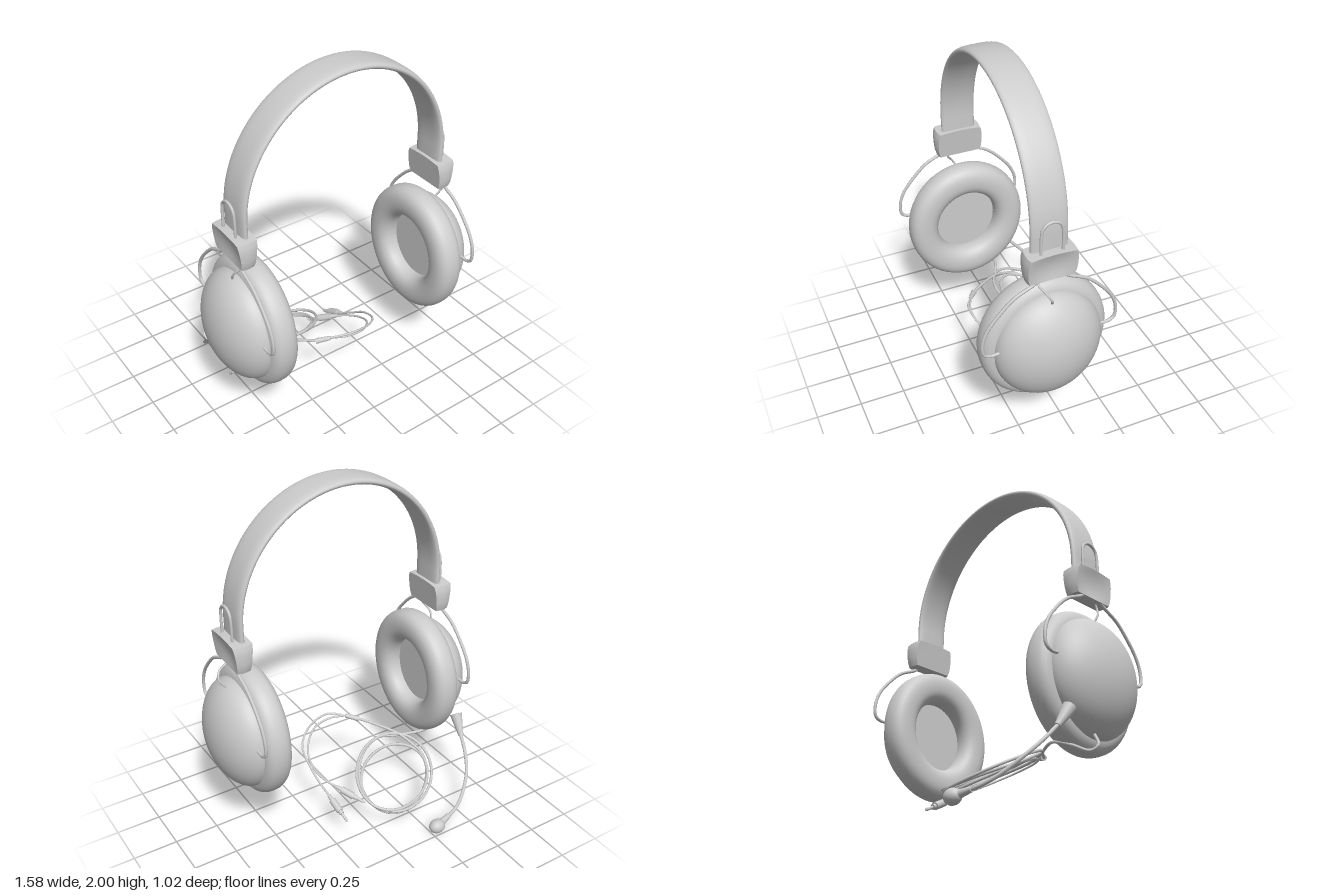
import * as THREE from 'three';
import { toCreasedNormals } from 'three/addons/utils/BufferGeometryUtils.js';
import { ParametricGeometry } from 'three/addons/geometries/ParametricGeometry.js';

const grey = new THREE.MeshStandardMaterial({ color: 0xcccccc });
const greyOpen = new THREE.MeshStandardMaterial({ color: 0xcccccc, side: THREE.DoubleSide });
const MID_Z = 0.1375; // centre plane of band and cups
const V = (x, y, z) => new THREE.Vector3(x, y, z);

function part(name, geometry, material = grey) {
  const mesh = new THREE.Mesh(geometry, material);
  mesh.name = name;
  return mesh;
}

// Smooth round wire through a few points, with capped ends
function wire(name, points, radius = 0.008, segments = points.length * 8) {
  const group = new THREE.Group();
  group.name = name;
  const curve = new THREE.CatmullRomCurve3(points);
  group.add(part(name + 'Strand', new THREE.TubeGeometry(curve, segments, radius, 8)));
  for (const end of [points[0], points[points.length - 1]]) {
    const cap = part(name + 'End', new THREE.SphereGeometry(radius, 8, 6));
    cap.position.copy(end);
    group.add(cap);
  }
  return group;
}

// Straight tapered cylinder from a to b
function rod(name, a, b, radiusA, radiusB) {
  const dir = b.clone().sub(a);
  const mesh = part(name, new THREE.CylinderGeometry(radiusB, radiusA, dir.length(), 16));
  mesh.position.copy(a).add(b).multiplyScalar(0.5);
  mesh.quaternion.setFromUnitVectors(V(0, 1, 0), dir.normalize());
  return mesh;
}

// Profile (radius, x) turned about the cup's axis, a little narrower in z
function turned(name, profile, material) {
  const mesh = part(name, toCreasedNormals(new THREE.LatheGeometry(profile, 56), 0.7), material);
  mesh.rotation.z = -Math.PI / 2;
  mesh.scale.z = 0.92;
  mesh.position.y = 0.69;
  return mesh;
}

const power = (v, p) => Math.sign(v) * Math.abs(v) ** p;

function headband() {
  const geometry = new ParametricGeometry((u, v, target) => {
    const a = -0.25 + u * (Math.PI + 0.5);
    const c = THREE.MathUtils.clamp(a, 0, Math.PI);
    const drop = Math.abs(a - c) * 0.62;
    const phi = v * Math.PI * 2;
    const out = power(Math.sin(phi), 0.8) * 0.021;
    target.set(
      (0.606 + out) * Math.cos(c),
      1.36 - drop + (0.619 + out) * Math.sin(c),
      MID_Z - power(Math.cos(phi), 0.6) * 0.097
    );
  }, 72, 28);
  return part('headband', geometry);
}

// Tapered block with a hollowed outer face
function bracket() {
  const geometry = new THREE.BoxGeometry(0.11, 0.16, 0.275, 6, 6, 10);
  const p = geometry.attributes.position;
  for (let i = 0; i < p.count; i++) {
    const x = p.getX(i) / 0.055, y = p.getY(i) / 0.08, z = p.getZ(i) / 0.1375;
    let px = x * (0.046 + 0.009 * y);
    if (x > 0.99) px -= 0.014 * (1 - z * z) * (1 - y * y);
    const pz = z * (0.1375 - 0.012 * Math.abs(y) ** 3 - 0.008 * x * x);
    const py = y * 0.08 - 0.008 * Math.max(0, y) * z * z;
    p.setXYZ(i, px, py, pz);
  }
  const mesh = part('bracket', toCreasedNormals(geometry, 0.7));
  mesh.position.set(0.62, 1.2, 0);
  return mesh;
}

function earSide(name) {
  const group = new THREE.Group();
  group.name = name;

  // Ring cushion with a softly squared section
  const ring = [];
  for (let i = 0; i <= 28; i++) {
    const a = (i / 28) * Math.PI * 2;
    ring.push(new THREE.Vector2(0.286 + 0.09 * power(Math.cos(a), 0.85), 0.541 + 0.08 * power(Math.sin(a), 0.8)));
  }
  group.add(turned('earCushion', ring));

  // Domed shell and the recessed speaker face
  const dome = [new THREE.Vector2(0.3, 0.57), new THREE.Vector2(0.315, 0.6)];
  for (let i = 0; i <= 16; i++) {
    const t = (i / 16) * Math.PI / 2;
    dome.push(new THREE.Vector2(0.315 * Math.cos(t), 0.62 + 0.172 * Math.sin(t) ** 1.15));
  }
  group.add(turned('earShell', dome));
  group.add(turned('speakerFace', [new THREE.Vector2(0, 0.56), new THREE.Vector2(0.25, 0.56)], greyOpen));

  // Bracket, adjusting hoop above it and the two wire arms holding the cup
  group.add(bracket());
  const hoop = [V(0.645, 1.2, 0.056), V(0.645, 1.38, 0.056)];
  for (let i = 1; i < 6; i++) {
    const a = (i / 6) * Math.PI;
    hoop.push(V(0.645, 1.39 + 0.058 * Math.sin(a), 0.056 * Math.cos(a)));
  }
  hoop.push(V(0.645, 1.38, -0.056), V(0.645, 1.2, -0.056));
  group.add(wire('adjustingHoop', hoop, 0.008));
  for (const s of [1, -1]) {
    const arm = [[0.06, 1.13], [0.1, 1.105], [0.19, 1.06], [0.27, 0.985], [0.335, 0.9], [0.362, 0.82],
      [0.355, 0.755], [0.32, 0.735], [0.275, 0.737]];
    group.add(wire('wireArm', arm.map(([z, y]) => V(0.645, y, s * z)), 0.009));
  }
  group.position.z = MID_Z;
  return group;
}

function microphone() {
  const group = new THREE.Group();
  group.name = 'microphone';
  const bend = V(-0.662, 0.355, -0.18);
  group.add(rod('boomSocket', V(-0.675, 0.46, -0.105), bend, 0.036, 0.015));
  group.add(wire('boom', [bend, V(-0.645, 0.285, -0.245), V(-0.6, 0.2, -0.325), V(-0.5, 0.105, -0.405),
    V(-0.42, 0.07, -0.44), V(-0.36, 0.06, -0.452)], 0.01));
  group.add(rod('microphoneCollar', V(-0.385, 0.063, -0.448), V(-0.315, 0.05, -0.464), 0.014, 0.022));
  const tip = part('microphoneTip', new THREE.SphereGeometry(0.04, 24, 16));
  tip.scale.x = 1.2;
  tip.position.set(-0.285, 0.045, -0.47);
  group.add(tip);
  return group;
}

function plug(name, a, b) {
  const group = new THREE.Group();
  group.name = name;
  const at = t => a.clone().lerp(b, t);
  group.add(rod('strainRelief', a, at(0.2), 0.009, 0.014));
  group.add(rod('plugGrip', at(0.2), at(0.6), 0.02, 0.02));
  group.add(rod('plugCollar', at(0.6), at(0.7), 0.014, 0.014));
  group.add(rod('plugPin', at(0.7), at(0.96), 0.008, 0.008));
  group.add(rod('plugTip', at(0.94), b, 0.009, 0.003));
  return group;
}

function cable() {
  const group = new THREE.Group();
  group.name = 'cable';
  // Lead from the cup, three loose tilted loops, then out to the splitter
  const points = [V(-0.64, 0.4, 0.1), V(-0.675, 0.325, 0.09), V(-0.64, 0.302, 0.07), V(-0.57, 0.335, 0.02), V(-0.49, 0.36, -0.02)];
  const turns = 3, steps = 14;
  for (let i = 0; i <= turns * steps; i++) {
    const a = 2.2 - (i / steps) * Math.PI * 2;
    const wobble = Math.sin(i * 0.31);
    const x = -0.205 + (0.225 + 0.014 * wobble) * Math.cos(a);
    const z = -0.15 + (0.195 + 0.025 * Math.cos(i * 0.23)) * Math.sin(a) - 0.03 * Math.cos(a);
    points.push(V(x, 0.31 + 0.47 * z - 0.1 * (x + 0.2) + 0.018 * wobble, z));
  }
  const last = points.pop();
  points.push(V(last.x - 0.02, last.y + 0.02, last.z + 0.03), V(-0.26, 0.395, 0.16), V(-0.2, 0.41, 0.23));
  group.add(wire('mainCable', points, 0.008, 300));
  group.add(rod('splitter', V(-0.205, 0.408, 0.225), V(-0.14, 0.43, 0.27), 0.016, 0.012));

  // Two thin leads to the plugs
  group.add(wire('plugLead', [V(-0.14, 0.43, 0.27), V(-0.04, 0.45, 0.32), V(0.1, 0.42, 0.295), V(0.195, 0.37, 0.21),
    V(0.215, 0.32, 0.1), V(0.205, 0.25, 0), V(0.19, 0.205, -0.07)], 0.006));
  group.add(wire('plugLead', [V(-0.14, 0.43, 0.27), V(-0.05, 0.425, 0.305), V(0.07, 0.4, 0.29), V(0.17, 0.34, 0.19),
    V(0.19, 0.285, 0.08), V(0.165, 0.25, 0), V(0.13, 0.228, -0.05)], 0.006));
  group.add(plug('plug', V(0.19, 0.205, -0.07), V(0.17, 0.12, -0.24)));
  group.add(plug('plug', V(0.13, 0.228, -0.05), V(0.02, 0.155, -0.19)));
  return group;
}

export function createModel() {
  const model = new THREE.Group();
  model.name = 'headset';
  const right = earSide('rightEarSide');
  right.rotation.y = Math.PI;
  model.add(headband(), earSide('leftEarSide'), right, microphone(), cable());

  // Short leads from the brackets into the shells
  model.add(wire('leftCupLead', [V(0.62, 1.13, 0.19), V(0.63, 1.09, 0.2), V(0.685, 1.065, 0.18), V(0.7, 1.03, 0.16),
    V(0.675, 0.99, 0.145), V(0.64, 0.975, 0.145)], 0.006));
  model.add(wire('rightCupLead', [V(-0.62, 1.13, 0.19), V(-0.625, 1.09, 0.2), V(-0.645, 1.06, 0.18), V(-0.655, 1.03, 0.16),
    V(-0.65, 1, 0.145), V(-0.64, 0.975, 0.145)], 0.006));
  return model;
}
